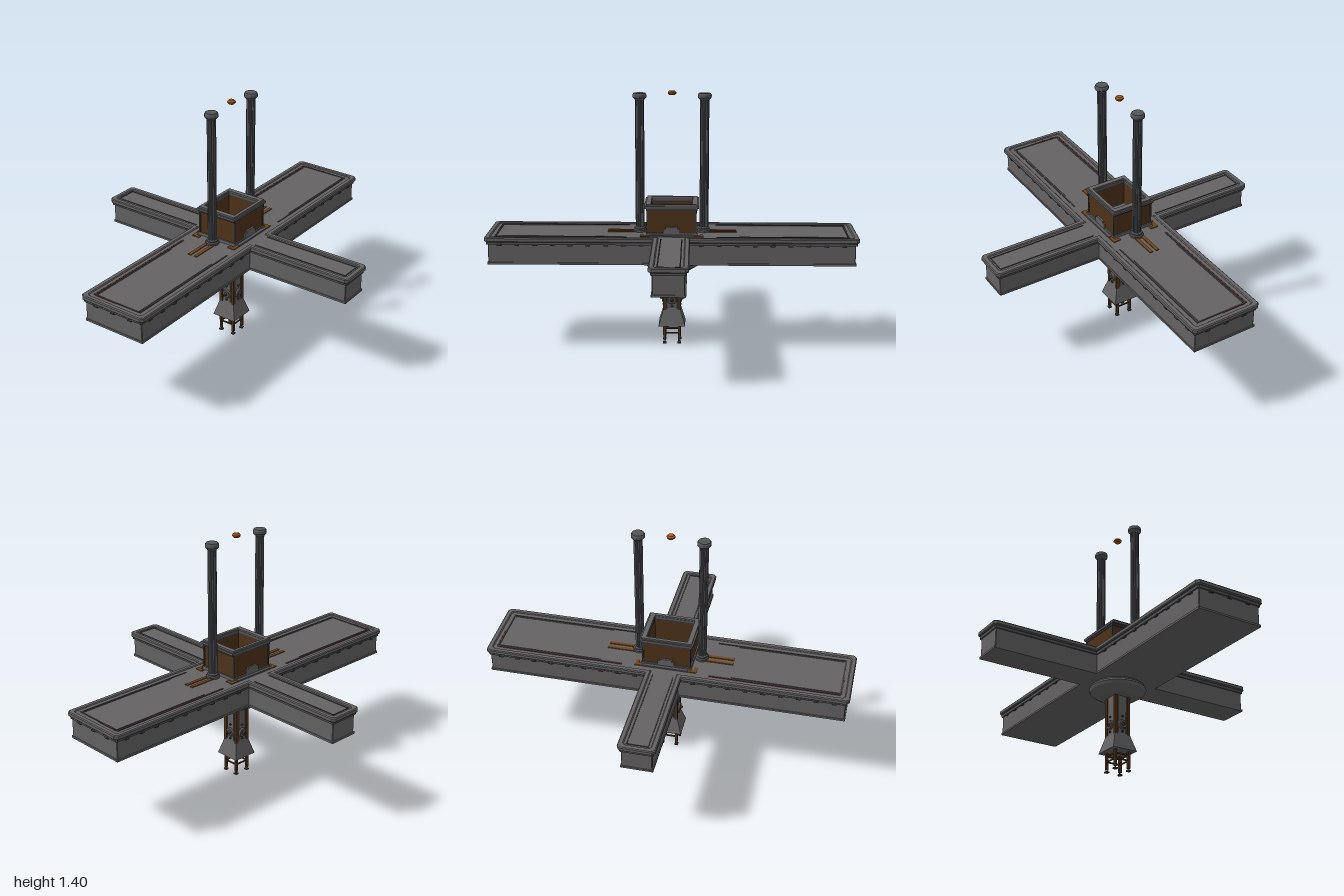
import * as THREE from 'three';

const mat = (name, color, side = THREE.FrontSide) => {
  const m = new THREE.MeshStandardMaterial({ color, side });
  m.name = name;
  return m;
};

export function createModel() {
  const stone = mat('stone grey', 0x646262);
  const steel = mat('steel grey', 0x54555a);
  const dark = mat('dark grey', 0x38383a);
  const wood = mat('dark wood', 0x4e3219);
  const bronze = mat('bronze', 0x70451c);
  const amber = mat('amber', 0xa85c18);
  const red = mat('dull red', 0x6b2020);

  const model = new THREE.Group();
  model.name = 'crossPlatformTower';

  const add = (name, geo, material, x = 0, y = 0, z = 0, parent = model) => {
    const m = new THREE.Mesh(geo, material);
    m.name = name;
    m.position.set(x, y, z);
    parent.add(m);
    return m;
  };
  const box = (name, w, h, d, material, x, y, z, parent) =>
    add(name, new THREE.BoxGeometry(w, h, d), material, x, y, z, parent);
  const flat = (geo) => {
    const g = geo.toNonIndexed();
    g.computeVertexNormals();
    return g;
  };
  const lathe = (pts, sides) =>
    flat(new THREE.LatheGeometry(pts.map(([r, y]) => new THREE.Vector2(r, y)), sides));

  // Cross outline, inset by i, with chamfered outer corners
  const crossPoints = (i, c) => {
    const L = 1 - i, W = 0.2 - i, A = 0.1 - i, D = 0.8 - i;
    const quarter = [[L, W - c], [L - c, W], [A, W], [A, D - c], [A - c, D]];
    const mirrored = (sx, sz) => quarter.map(([x, z]) => [x * sx, z * sz]);
    return [
      ...mirrored(1, 1), ...mirrored(-1, 1).reverse(),
      ...mirrored(-1, -1), ...mirrored(1, -1).reverse(),
    ].map(([x, z]) => new THREE.Vector2(x, z));
  };
  const crossSlab = (name, y0, y1, inset, chamfer, material, bevel = 0, hole = 0) => {
    const shape = new THREE.Shape(crossPoints(inset + bevel, chamfer));
    if (hole) shape.holes.push(new THREE.Path(crossPoints(hole, chamfer)));
    const geo = new THREE.ExtrudeGeometry(shape, {
      depth: y1 - y0 - 2 * bevel, bevelEnabled: bevel > 0,
      bevelSize: bevel, bevelThickness: bevel, bevelSegments: 1,
    });
    geo.rotateX(-Math.PI / 2);
    add(name, geo, material, 0, y0 + bevel, 0);
  };

  // Cross-shaped deck in stacked mouldings
  crossSlab('deckFoot', 0.485, 0.496, 0.014, 0.003, stone);
  crossSlab('deckBody', 0.494, 0.597, 0.019, 0.003, stone);
  crossSlab('deckMoulding', 0.595, 0.612, 0.011, 0.006, steel);
  crossSlab('deckTop', 0.608, 0.629, 0.012, 0.008, stone);
  crossSlab('deckRim', 0.609, 0.635, 0, 0.014, stone, 0.005, 0.024);

  // Inlaid panel outlines on the four arms
  const line = (x, z, w, d, material = dark) =>
    box('panelLine', w, 0.004, d, material, x, 0.63, z);
  for (const s of [1, -1]) {
    for (const t of [1, -1]) {
      line(s * 0.595, t * 0.145, 0.71, 0.008);
      line(s * 0.65, t * 0.135, 0.58, 0.003, steel);
      line(t * 0.056, s * 0.48, 0.006, 0.56);
    }
    line(s * 0.946, 0, 0.008, 0.29);
    line(0, s * 0.76, 0.118, 0.006);
    line(s * 0.595, -0.151, 0.71, 0.003, red);
    line(s * 0.952, -0.07, 0.003, 0.14, red);
    // Plank rails beside the columns
    for (const t of [1, -1])
      box('deckRail', 0.2, 0.006, 0.018, bronze, s * 0.25, 0.631, t * 0.019);
  }

  // Small blocks under the rim
  for (const s of [1, -1]) {
    for (let i = 0; i < 9; i++)
      for (const t of [1, -1])
        box('rimBlock', 0.024, 0.012, 0.012, dark, t * (0.16 + i * 0.095), 0.594, s * 0.184);
    for (let i = -1; i <= 1; i++)
      box('rimBlock', 0.012, 0.012, 0.024, dark, s * 0.984, 0.594, i * 0.11);
  }

  // Dish below the deck
  add('underDish', lathe([
    [0, 0.415], [0.098, 0.415], [0.148, 0.447], [0.155, 0.462],
    [0.15, 0.474], [0.138, 0.478], [0.138, 0.488],
  ], 24), stone);

  // Stem with wooden corner posts
  box('stemCore', 0.078, 0.235, 0.078, steel, 0, 0.308, 0);
  for (let i = 0; i < 4; i++) {
    const side = new THREE.Group();
    side.name = 'stemSide';
    side.rotation.y = i * Math.PI / 2;
    model.add(side);
    box('cornerPost', 0.018, 0.23, 0.018, wood, 0.039, 0.305, 0.039, side);
    box('stemFace', 0.046, 0.23, 0.006, stone, 0, 0.305, 0.042, side);
    const hub = (name, r0, r1, h, y, z, m) => {
      const g = new THREE.CylinderGeometry(r0, r1, h, 12);
      g.rotateX(Math.PI / 2);
      add(name, flat(g), m, 0, y, z, side);
    };
    hub('hubDisc', 0.023, 0.028, 0.012, 0.253, 0.05, steel);
    hub('hubCap', 0.006, 0.012, 0.014, 0.253, 0.061, wood);
    hub('bolt', 0.005, 0.007, 0.008, 0.3, 0.048, dark);
    hub('bolt', 0.005, 0.007, 0.008, 0.215, 0.048, dark);
    // Ladder-like legs and rungs
    box('leg', 0.014, 0.19, 0.014, wood, 0.041, 0.111, 0.041, side);
    box('foot', 0.019, 0.008, 0.019, dark, 0.041, 0.004, 0.041, side);
    for (const y of [0.06, 0.09])
      box('rung', 0.08, 0.007, 0.007, wood, 0, y, 0.041, side);
  }

  // Flared skirt
  const skirt = new THREE.CylinderGeometry(0.045 * Math.SQRT2, 0.073 * Math.SQRT2, 0.097, 4);
  skirt.rotateY(Math.PI / 4);
  add('flaredSkirt', flat(skirt), stone, 0, 0.156, 0);

  // Open wooden box: rectangular rings of given outer and inner half sizes
  const frame = (name, ox, oz, ix, iz, y0, y1, material) => {
    const rect = (C, x, z) => new C([[-x, -z], [x, -z], [x, z], [-x, z]].map((p) => new THREE.Vector2(...p)));
    const s = rect(THREE.Shape, ox, oz);
    s.holes.push(rect(THREE.Path, ix, iz));
    const g = new THREE.ExtrudeGeometry(s, { depth: y1 - y0, bevelEnabled: false });
    g.rotateX(-Math.PI / 2);
    add(name, g, material, 0, y0, 0);
  };
  frame('boxSill', 0.138, 0.124, 0.11, 0.1, 0.628, 0.645, stone);
  frame('boxWalls', 0.131, 0.117, 0.112, 0.1, 0.64, 0.776, wood);
  frame('boxCornice', 0.137, 0.12, 0.112, 0.1, 0.768, 0.782, dark);
  frame('boxRim', 0.147, 0.125, 0.11, 0.098, 0.78, 0.793, steel);
  frame('boxRimTop', 0.138, 0.117, 0.112, 0.1, 0.793, 0.802, stone);
  box('boxFloor', 0.222, 0.008, 0.2, stone, 0, 0.634, 0);
  add('floorRing', lathe([[0.086, 0.636], [0.086, 0.646], [0.07, 0.646], [0.055, 0.638]], 24), dark);
  add('floorDisc', new THREE.CylinderGeometry(0.055, 0.055, 0.006, 24), wood, 0, 0.639, 0);

  for (const s of [1, -1]) {
    // Vents, steps and corner brackets around the box
    box('vent', 0.09, 0.03, 0.012, stone, 0, 0.655, s * 0.121);
    box('ventCap', 0.065, 0.012, 0.012, stone, 0, 0.675, s * 0.121);
    box('step', 0.24, 0.008, 0.018, steel, 0, 0.633, s * 0.133);
    for (const t of [1, -1]) {
      box('boxCorner', 0.01, 0.13, 0.01, dark, t * 0.129, 0.705, s * 0.115);
      box('bracketLong', 0.06, 0.006, 0.02, bronze, t * 0.14, 0.631, s * 0.131);
      box('bracketShort', 0.018, 0.006, 0.035, bronze, t * 0.16, 0.631, s * 0.113);
    }
  }

  // Fluted columns with bases and capitals
  const flutes = 12;
  const section = new THREE.Shape(Array.from({ length: flutes * 2 }, (_, i) => {
    const a = i * Math.PI / flutes, r = i % 2 ? 0.02 : 0.0245;
    return new THREE.Vector2(r * Math.cos(a), r * Math.sin(a));
  }));
  const shaft = new THREE.ExtrudeGeometry(section, { depth: 0.72, bevelEnabled: false });
  shaft.rotateX(-Math.PI / 2);
  const base = lathe([
    [0.037, 0.628], [0.037, 0.64], [0.031, 0.645], [0.031, 0.652], [0.022, 0.658],
  ], 12);
  const capital = lathe([
    [0.023, 1.345], [0.028, 1.352], [0.037, 1.362], [0.037, 1.376], [0.032, 1.385], [0, 1.385],
  ], 12);
  for (const s of [1, -1]) {
    const column = new THREE.Group();
    column.name = s > 0 ? 'leftColumn' : 'rightColumn';
    column.position.x = s * 0.174;
    model.add(column);
    add('shaft', shaft, steel, 0, 0.635, 0, column);
    add('columnBase', base, steel, 0, 0, 0, column);
    add('capital', capital, steel, 0, 0, 0, column);
  }

  // Floating amber gem
  const gem = lathe([[0, 1.375], [0.016, 1.375], [0.023, 1.383], [0.023, 1.389], [0.016, 1.397], [0, 1.397]], 8);
  add('floatingGem', gem, amber);

  return model;
}
